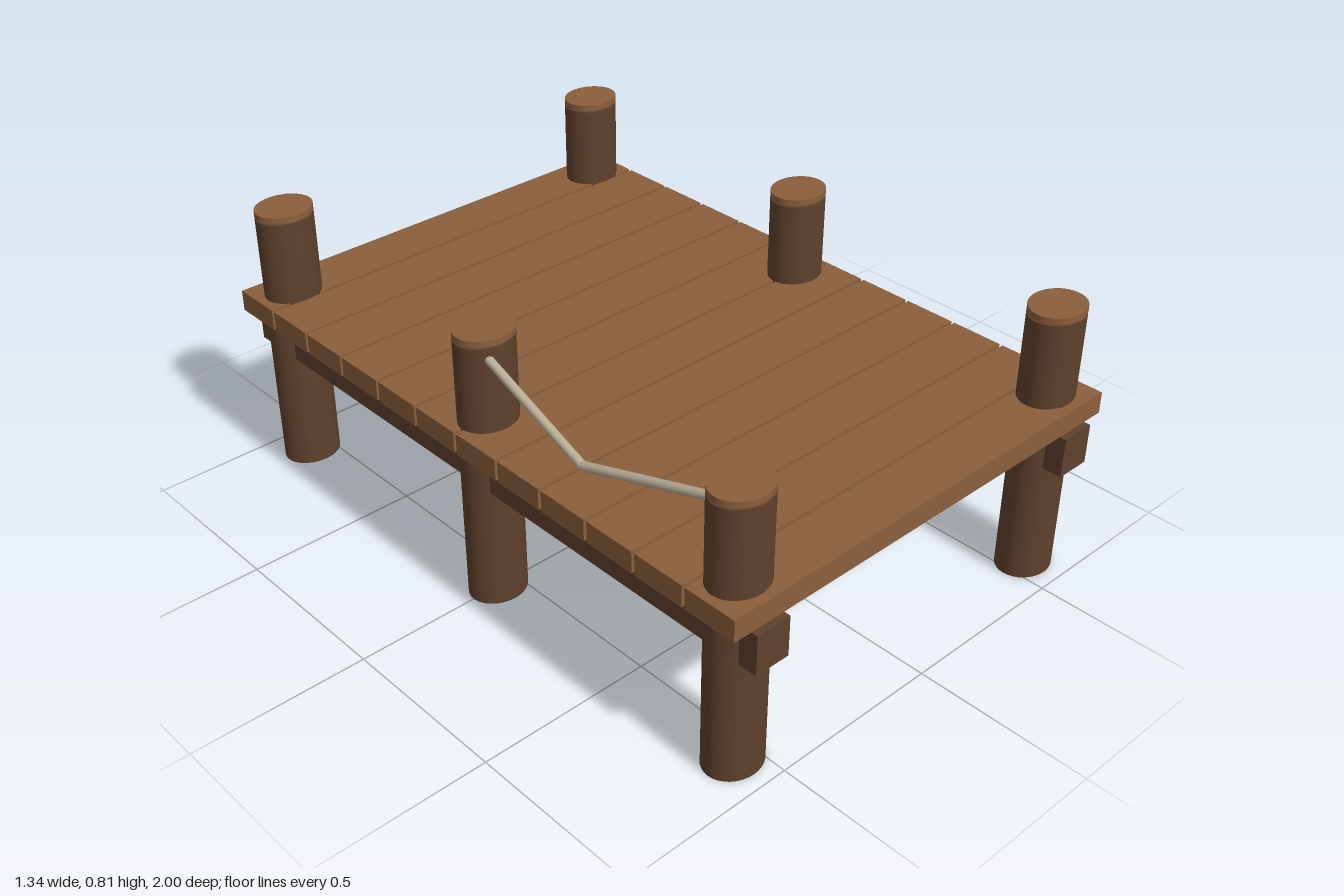
import * as THREE from 'three';

export function createModel() {
  const root = new THREE.Group();
  const paint = (color) => new THREE.MeshStandardMaterial({ color });
  const plankWood = paint(0x8b5f3c);
  const darkWood = paint(0x5f412c);
  const ropeFibre = paint(0xb9ae97);

  const add = (name, geometry, material, x, y, z) => {
    const mesh = new THREE.Mesh(geometry, material);
    mesh.name = name;
    mesh.position.set(x, y, z);
    root.add(mesh);
    return mesh;
  };

  // Deck planks laid across the pier with narrow gaps
  const plank = new THREE.BoxGeometry(1.34, 0.062, 0.155);
  for (let i = 0; i < 12; i++) add('plank', plank, plankWood, 0, 0.511, (i - 5.5) * 0.165);

  // Posts are slightly oval, each with a thin lighter cap
  const oval = (height) => new THREE.CylinderGeometry(1, 1, height, 32).scale(0.084, 1, 0.072);
  const post = oval(0.786);
  const cap = oval(0.018);
  const beam = new THREE.BoxGeometry(0.104, 0.115, 2);
  for (const side of [-1, 1]) {
    add('beam', beam, darkWood, side * 0.56, 0.4175, 0);
    for (const z of [-0.888, 0, 0.888]) {
      add('post', post, darkWood, side * 0.561, 0.393, z);
      add('postCap', cap, plankWood, side * 0.561, 0.799, z);
    }
  }

  // Sagging rope between the front and middle posts on the right
  const middle = new THREE.Vector3(-0.63, 0.652, 0.444);
  for (const z of [0.02, 0.868]) {
    const end = new THREE.Vector3(-0.592, 0.764, z);
    const span = end.clone().sub(middle);
    const rope = add('rope', new THREE.CylinderGeometry(0.012, 0.012, span.length(), 12), ropeFibre, 0, 0, 0);
    rope.position.copy(middle).add(end).multiplyScalar(0.5);
    rope.quaternion.setFromUnitVectors(new THREE.Vector3(0, 1, 0), span.normalize());
  }
  add('ropeBend', new THREE.SphereGeometry(0.012, 12, 8), ropeFibre, middle.x, middle.y, middle.z);

  return root;
}
